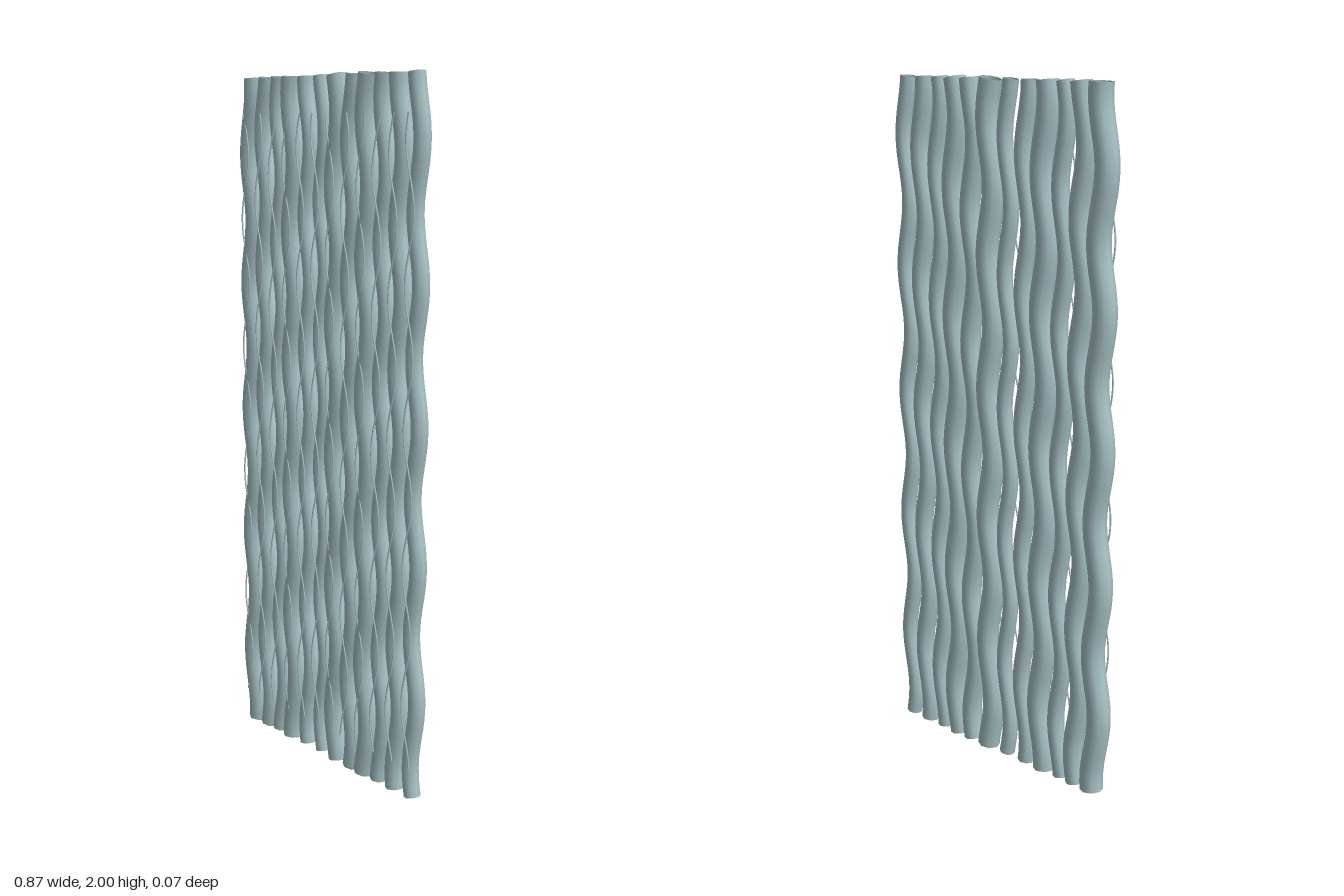
import * as THREE from 'three';

const COUNT = 12, SPACING = 0.0716;
const WAVE = 2 * Math.PI * 5.19 / 2; // radians per unit of height

// Radius and starting phase of each tube, from -x to +x
const RADII = [0.034, 0.030, 0.025, 0.033, 0.025, 0.023, 0.033, 0.030, 0.033, 0.026, 0.028, 0.024];
const PHASES = [0.97, 0, -1.25, -1.85, -2.6, -3.3, -4.1, -6.1, -7.2, -7.9, -8.7, -9.3];

// Upright sine curve in the x-y plane
function waveCurve(y0, y1, amplitude, phase, z) {
  const points = [];
  const steps = 64;
  for (let i = 0; i <= steps; i++) {
    const y = y0 + (y1 - y0) * i / steps;
    points.push(new THREE.Vector3(amplitude * Math.sin(phase + WAVE * y), y, z));
  }
  return new THREE.CatmullRomCurve3(points);
}

export function createModel() {
  const group = new THREE.Group();
  group.name = 'wavyTubeScreen';
  const glass = new THREE.MeshStandardMaterial({ color: 0xa9c3c7, side: THREE.DoubleSide });
  glass.name = 'pale blue grey';

  for (let i = 0; i < COUNT; i++) {
    const strand = new THREE.Group();
    strand.name = `strand${i + 1}`;
    strand.position.x = (i - (COUNT - 1) / 2) * SPACING;

    // Open hollow tube
    const tube = new THREE.Mesh(
      new THREE.TubeGeometry(waveCurve(0.006, 1.994, 0.013, PHASES[i], 0), 96, RADII[i], 8, false), glass);
    tube.name = 'wavyTube';

    // Thin wire on the front, swinging against the tube
    const wire = new THREE.Mesh(
      new THREE.TubeGeometry(waveCurve(0.1, 1.89, 0.018, PHASES[i] + Math.PI, 0.0305), 96, 0.0025, 5, false), glass);
    wire.name = 'frontWire';

    strand.add(tube, wire);
    group.add(strand);
  }
  return group;
}
